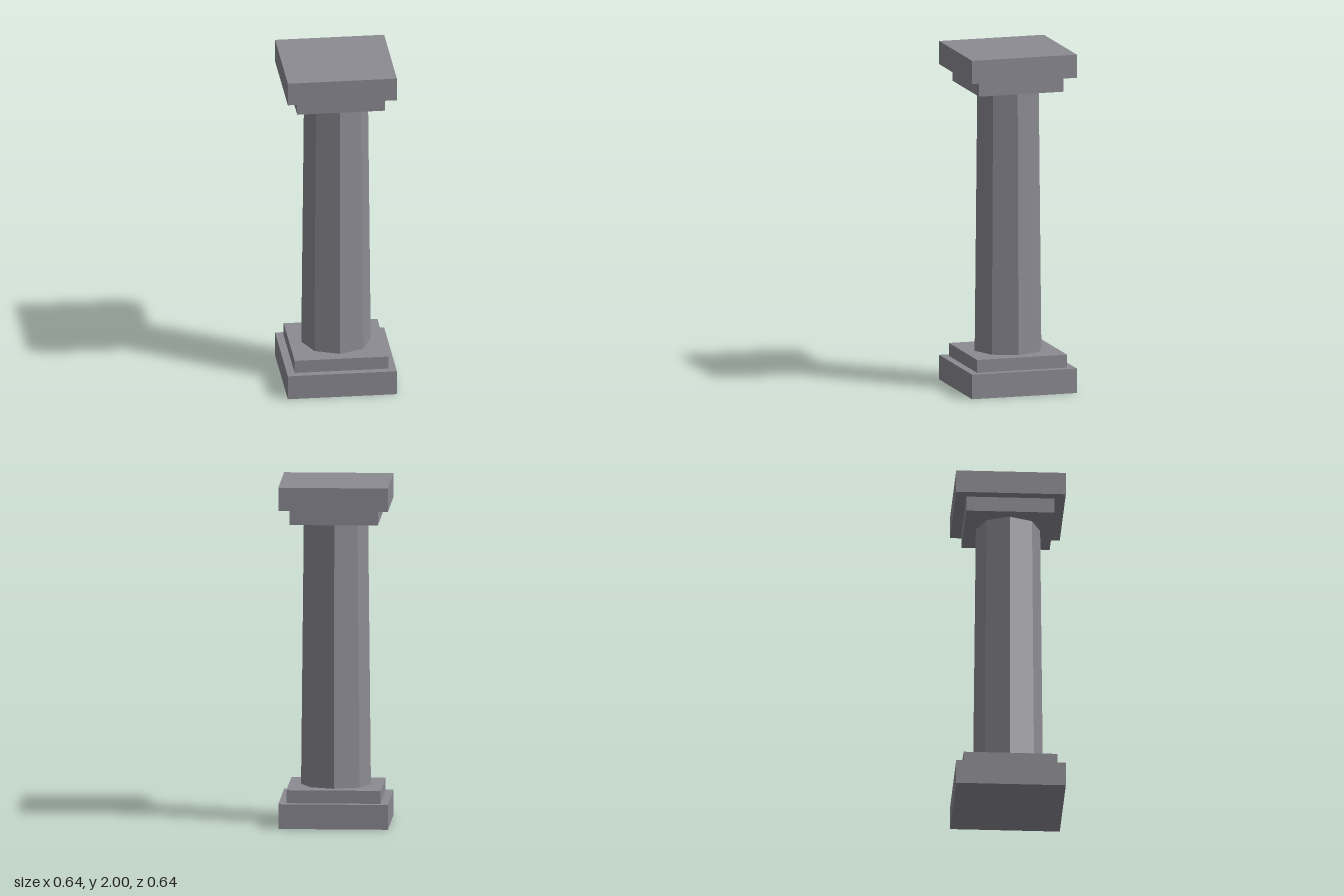
import * as THREE from 'three';

export function createModel() {
  const group = new THREE.Group();
  const stone = new THREE.MeshStandardMaterial({ color: 0x8c8b93, flatShading: true });
  stone.name = 'grey stone';

  const add = (name, geometry, bottom, top) => {
    const mesh = new THREE.Mesh(geometry, stone);
    mesh.name = name;
    mesh.position.y = (bottom + top) / 2;
    group.add(mesh);
  };

  // Square slabs of the base and the capital: name, width, bottom, top
  const slabs = [
    ['basePlinth', 0.637, 0, 0.145],
    ['baseStep', 0.547, 0.145, 0.221],
    ['capitalStep', 0.513, 1.773, 1.863],
    ['capitalSlab', 0.637, 1.863, 2],
  ];
  for (const [name, width, bottom, top] of slabs) {
    add(name, new THREE.BoxGeometry(width, top - bottom, width), bottom, top);
  }

  // Tapered eight-sided shaft with corners on the x and z axes
  add('shaft', new THREE.CylinderGeometry(0.187, 0.203, 1.552, 8), 0.221, 1.773);

  return group;
}
